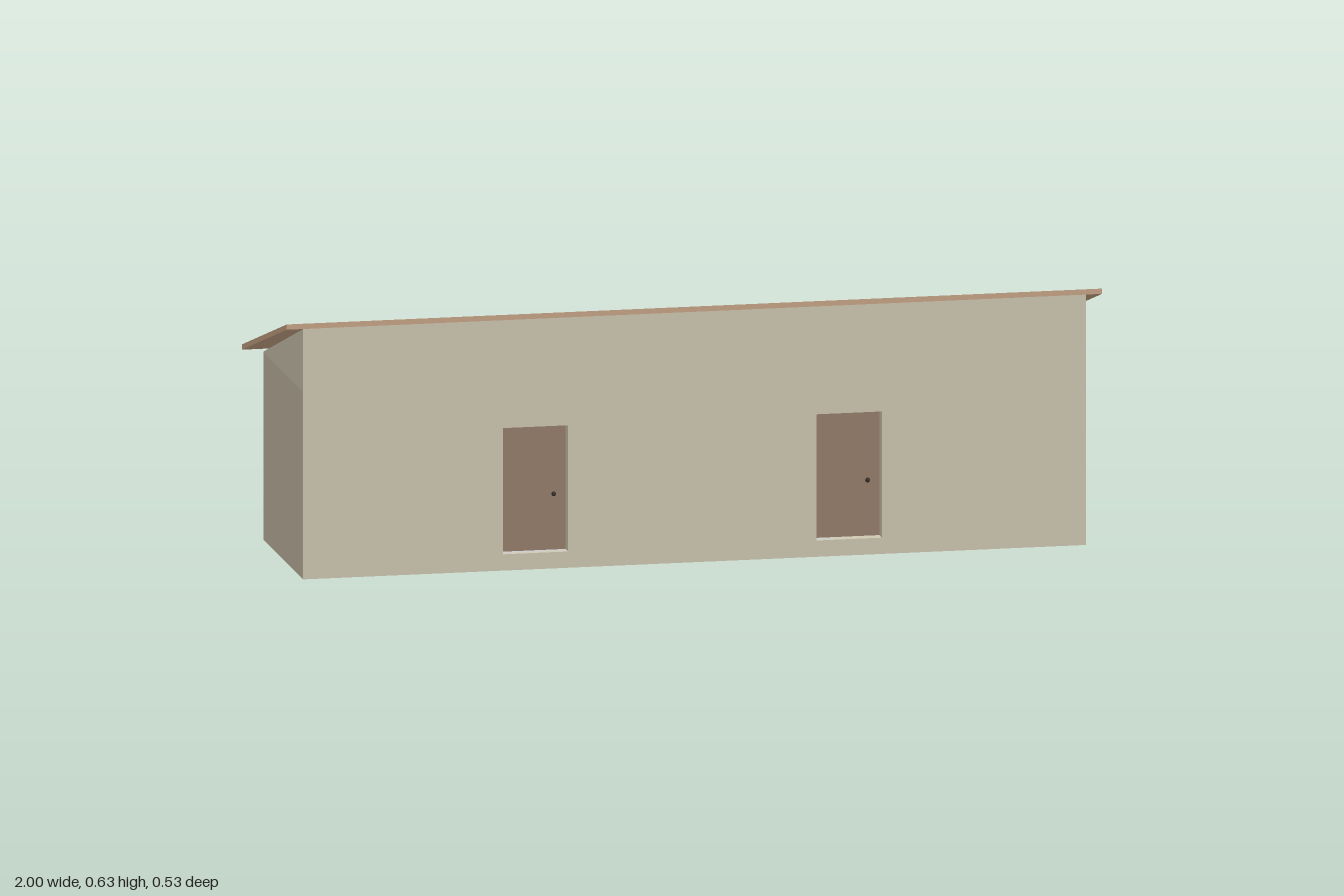
import * as THREE from 'three';

const mat = (color) => new THREE.MeshStandardMaterial({ color, flatShading: true, side: THREE.DoubleSide });

export function createModel() {
  const model = new THREE.Group();
  const plaster = mat(0xcfc8b2), sideWall = mat(0xc7bba6), roofTile = mat(0xc7a586);
  const wood = mat(0x967f6b), dark = mat(0x3a322c), paving = mat(0xcccccc);

  const HALF = 0.96, FRONT = 0.263, BACK = -0.2, EAVE = 0.46, TOP = 0.615, FLOOR = 0.04, T = 0.006;

  const add = (name, geo, material, parent = model) => {
    const mesh = new THREE.Mesh(geo, material);
    mesh.name = name;
    parent.add(mesh);
    return mesh;
  };
  // Box given by its minimum and maximum corners
  const box = (name, x0, x1, y0, y1, z0, z1, material, parent) =>
    add(name, new THREE.BoxGeometry(x1 - x0, y1 - y0, z1 - z0)
      .translate((x0 + x1) / 2, (y0 + y1) / 2, (z0 + z1) / 2), material, parent);
  const polygon = (points) => new THREE.Shape(points.map(([x, y]) => new THREE.Vector2(x, y)));
  const rect = (x0, x1, y0, y1) => [[x0, y0], [x1, y0], [x1, y1], [x0, y1]];
  // Profile of [z, y] points swept along x
  const sweep = (name, points, halfWidth, material) =>
    add(name, new THREE.ExtrudeGeometry(polygon(points.map(([z, y]) => [-z, y])),
      { depth: 2 * halfWidth, bevelEnabled: false })
      .translate(0, 0, -halfWidth).rotateY(Math.PI / 2), material);

  // Front wall with two door openings
  const doors = [-0.39, 0.38], doorHalf = 0.08, doorTop = 0.35;
  const wall = polygon(rect(-HALF, HALF, 0, TOP));
  for (const x of doors) wall.holes.push(polygon(rect(x - doorHalf, x + doorHalf, FLOOR, doorTop)));
  add('frontWall', new THREE.ExtrudeGeometry(wall, { depth: T, bevelEnabled: false })
    .translate(0, 0, FRONT - T), plaster);

  // Recessed doors with reveals and handles
  for (const x of doors) {
    const door = new THREE.Group();
    door.name = 'door';
    model.add(door);
    const l = x - doorHalf, r = x + doorHalf, inner = FRONT - 0.03;
    box('doorPanel', l, r, FLOOR, doorTop, inner - 0.01, inner, wood, door);
    box('jamb', l - 0.004, l, FLOOR, doorTop, inner, FRONT - T, plaster, door);
    box('jamb', r, r + 0.004, FLOOR, doorTop, inner, FRONT - T, plaster, door);
    box('lintel', l, r, doorTop, doorTop + 0.004, inner, FRONT - T, plaster, door);
    box('sill', l, r, FLOOR - 0.004, FLOOR, inner, FRONT - T, plaster, door);
    add('handle', new THREE.SphereGeometry(0.006, 10, 8), dark, door).position.set(x + 0.05, 0.178, inner + 0.006);
  }

  // Side walls and the sloping gable block, whose flat underside is the ceiling
  for (const s of [-1, 1]) {
    const a = s * HALF, b = s * (HALF - T);
    box('sideWall', Math.min(a, b), Math.max(a, b), 0, EAVE, BACK, FRONT - T, sideWall);
  }
  sweep('gable', [[FRONT - T, EAVE], [BACK, EAVE], [BACK, EAVE + 0.002], [FRONT - T, TOP - 0.002]], HALF, plaster);

  // Sloping roof slab
  sweep('roof', [[0.263, 0.615], [-0.263, 0.455], [-0.263, 0.468], [0.263, 0.628]], 1, roofTile);

  // Floor stops short of the arcade
  box('floor', -HALF + T, HALF - T, FLOOR - 0.002, FLOOR, -0.07, FRONT - T, paving);

  // Arcade of five arches over a low sill
  const bays = 5, pitch = 2 * HALF / bays, pillar = 0.06, depth = 0.055;
  const spring = 0.3, rx = (pitch - pillar) / 2, ry = 0.15;
  const arcade = polygon(rect(-HALF, HALF, 0, EAVE));
  for (let i = 0; i < bays; i++) {
    const cx = -HALF + (i + 0.5) * pitch;
    const outline = [[cx - rx, FLOOR], [cx + rx, FLOOR]];
    for (let k = 0; k <= 10; k++) {
      const t = Math.PI * k / 10;
      outline.push([cx + rx * Math.cos(t), spring + ry * Math.sin(t)]);
    }
    arcade.holes.push(polygon(outline));
  }
  add('arcade', new THREE.ExtrudeGeometry(arcade, { depth, bevelEnabled: false })
    .translate(0, 0, BACK), plaster);

  // Mouldings around the free pillars
  const out = 0.01;
  for (let i = 1; i < bays; i++) {
    const x = -HALF + i * pitch, w = pillar / 2 + out;
    box('capital', x - w, x + w, 0.283, 0.302, BACK - out, BACK + depth + out, plaster);
    box('pillarBase', x - w, x + w, 0.04, 0.06, BACK - out, BACK + depth + out, plaster);
  }
  return model;
}
